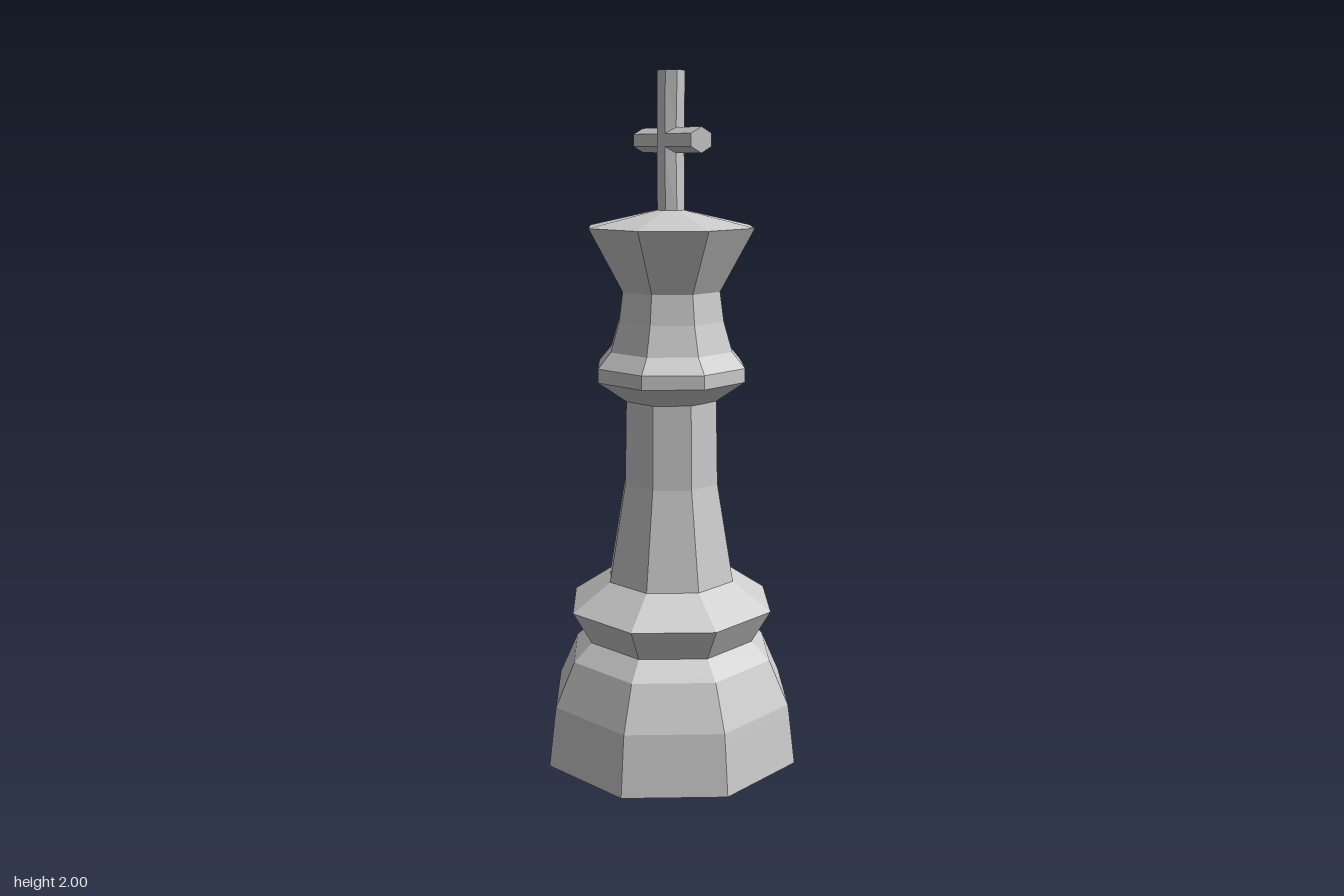
import * as THREE from 'three';

const SIDES = 8;
const material = new THREE.MeshStandardMaterial({ color: 0xcccccc, flatShading: true });

// Eight-sided turned part from [radius, height] pairs, listed bottom to top.
function turned(name, profile) {
  const points = profile.map(([r, y]) => new THREE.Vector2(r, y));
  const mesh = new THREE.Mesh(new THREE.LatheGeometry(points, SIDES), material);
  mesh.name = name;
  return mesh;
}

export function createModel() {
  const model = new THREE.Group();
  model.name = 'chessKing';

  // Bell-shaped foot with a closed underside
  model.add(turned('base', [[0, 0], [0.392, 0], [0.374, 0.145], [0.369, 0.18], [0.31, 0.31], [0.255, 0.362]]));

  // Flared ring above the foot
  model.add(turned('lowerCollar', [[0.255, 0.362], [0.312, 0.46], [0.195, 0.54]]));

  // Tapering stem
  model.add(turned('stem', [[0.195, 0.54], [0.145, 0.83], [0.14, 1.075]]));

  // Ring below the head
  model.add(turned('upperCollar', [[0.14, 1.075], [0.226, 1.135], [0.226, 1.175], [0.187, 1.22]]));

  // Waisted head, flaring to a crown with a shallow conical top
  model.add(turned('head', [[0.187, 1.22], [0.161, 1.305], [0.149, 1.39], [0.25, 1.57], [0.04, 1.617], [0, 1.617]]));

  // Cross: upright post, pinched front to back where the arms meet it
  const cross = new THREE.Group();
  cross.name = 'cross';
  const post = turned('crossPost', [[0.042, 1.61], [0.042, 1.775], [0.042, 1.845], [0.042, 2], [0, 2]]);
  const pos = post.geometry.attributes.position;
  for (let i = 0; i < pos.count; i++) {
    if (Math.abs(pos.getY(i) - 1.81) < 0.04) pos.setZ(i, pos.getZ(i) * 0.85);
  }
  post.geometry.computeVertexNormals();
  cross.add(post);

  // Hexagonal arms running front to back, with an edge on top
  for (const side of [1, -1]) {
    const arm = new THREE.Mesh(new THREE.CylinderGeometry(0.035, 0.035, 0.185, 6), material);
    arm.name = side > 0 ? 'frontCrossArm' : 'backCrossArm';
    arm.rotation.x = Math.PI / 2;
    arm.position.set(0, 1.81, side * 0.1075);
    cross.add(arm);
  }
  model.add(cross);

  return model;
}
